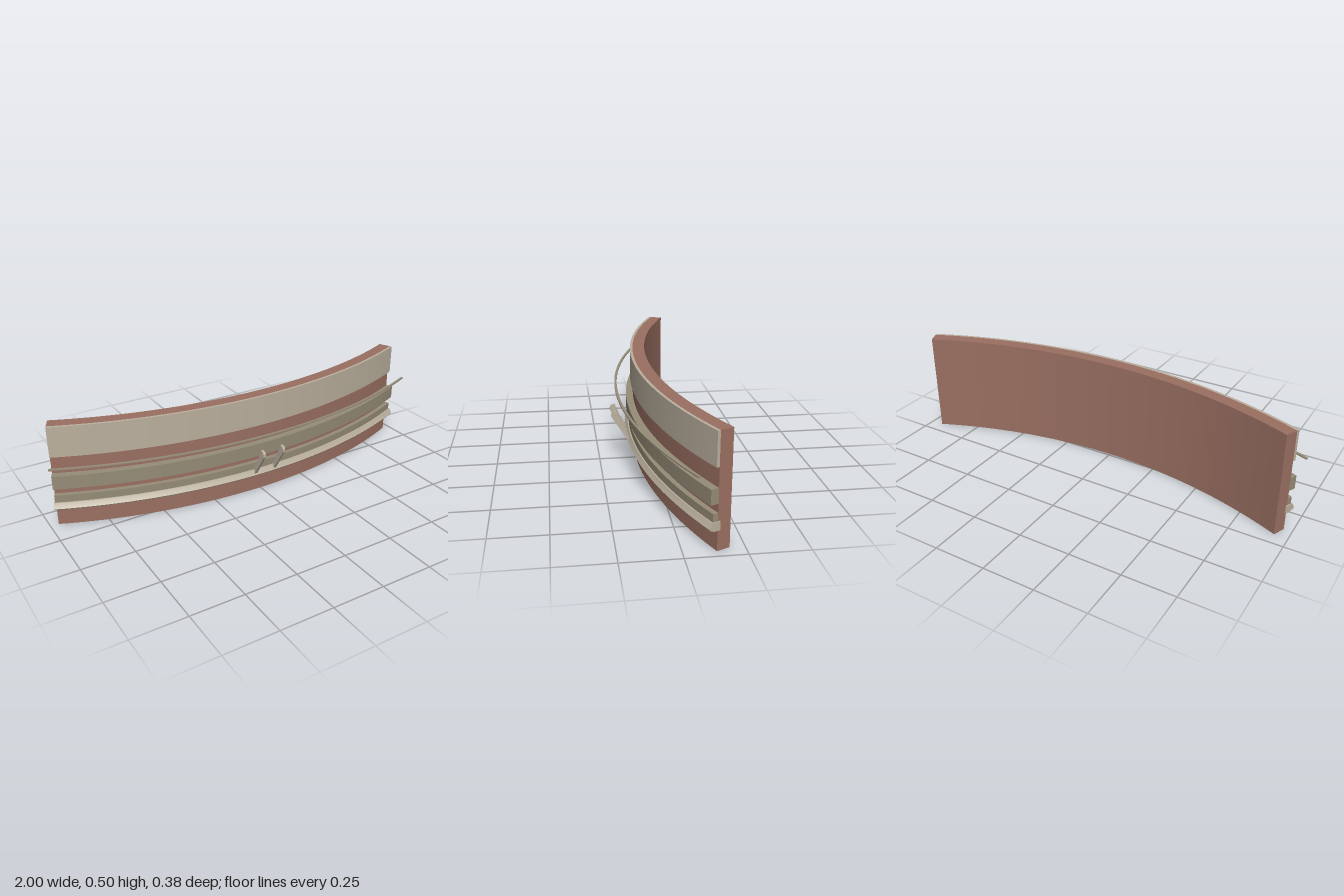
import * as THREE from 'three';
import { toCreasedNormals } from 'three/addons/utils/BufferGeometryUtils.js';

const CENTRE_Z = -2.304;                       // centre of the curved wall
const HALF = THREE.MathUtils.degToRad(23.9);   // half of the arc
const WALL_R = 2.374;                          // outer face of the wall

// Sweep a closed (radius, y) profile along the arc
function sweep(profile, half = HALF) {
  const shape = new THREE.Shape(profile.map(([r, y]) => new THREE.Vector2(r, y)));
  const geo = new THREE.ExtrudeGeometry(shape, { depth: 1, steps: 48, bevelEnabled: false });
  const p = geo.attributes.position;
  for (let i = 0; i < p.count; i++) {
    const r = p.getX(i), a = (1 - 2 * p.getZ(i)) * half;
    p.setXYZ(i, r * Math.sin(a), p.getY(i), CENTRE_Z + r * Math.cos(a));
  }
  return toCreasedNormals(geo, 0.3);
}

const band = (r0, r1, y0, y1) => [[r0, y0], [r1, y0], [r1, y1], [r0, y1]];

export function createModel() {
  const brick = new THREE.MeshStandardMaterial({ name: 'brick', color: 0x9b7062 });
  const paleStone = new THREE.MeshStandardMaterial({ name: 'pale stone', color: 0xbbb09e });
  const darkStone = new THREE.MeshStandardMaterial({ name: 'dark stone', color: 0x968c77 });

  const model = new THREE.Group();
  model.name = 'curvedWall';
  const add = (name, geo, mat) => {
    const mesh = new THREE.Mesh(geo, mat);
    mesh.name = name;
    model.add(mesh);
    return mesh;
  };

  // Wall and its horizontal bands
  add('wall', sweep(band(WALL_R - 0.06, WALL_R, 0, 0.496)), brick);
  add('topBand', sweep(band(WALL_R, 2.387, 0.35, 0.496)), paleStone);
  add('middleBand', sweep(band(WALL_R, 2.409, 0.201, 0.266)), darkStone);
  add('lowerBand', sweep(band(WALL_R, 2.397, 0.128, 0.163)), darkStone);

  // Moulded ledge
  add('ledge', sweep([
    [2.365, 0.09], [2.393, 0.09], [2.412, 0.098], [2.416, 0.104],
    [2.409, 0.115], [2.403, 0.128], [2.365, 0.128],
  ], HALF + 0.002), paleStone);

  // Thin free-standing rail
  add('rail', sweep(band(2.456, 2.468, 0.327, 0.333)), darkStone);

  // Pair of leaning brackets, outline in (z, y)
  const outline = [
    [0.112, 0.116], [0.116, 0.118], [0.185, 0.225], [0.192, 0.238], [0.191, 0.253],
    [0.183, 0.262], [0.168, 0.265], [0.142, 0.203], [0.136, 0.197], [0.122, 0.166], [0.11, 0.132],
  ];
  const shape = new THREE.Shape(outline.map(([z, y]) => new THREE.Vector2(z, y)));
  const width = 0.013;
  const bracket = new THREE.ExtrudeGeometry(shape, { depth: width, bevelEnabled: false });
  bracket.translate(0, 0, -width / 2);
  bracket.rotateY(-Math.PI / 2);
  for (const [name, x] of [['leftBracket', 0.054], ['rightBracket', -0.054]]) {
    add(name, bracket, paleStone).position.x = x;
  }
  return model;
}
